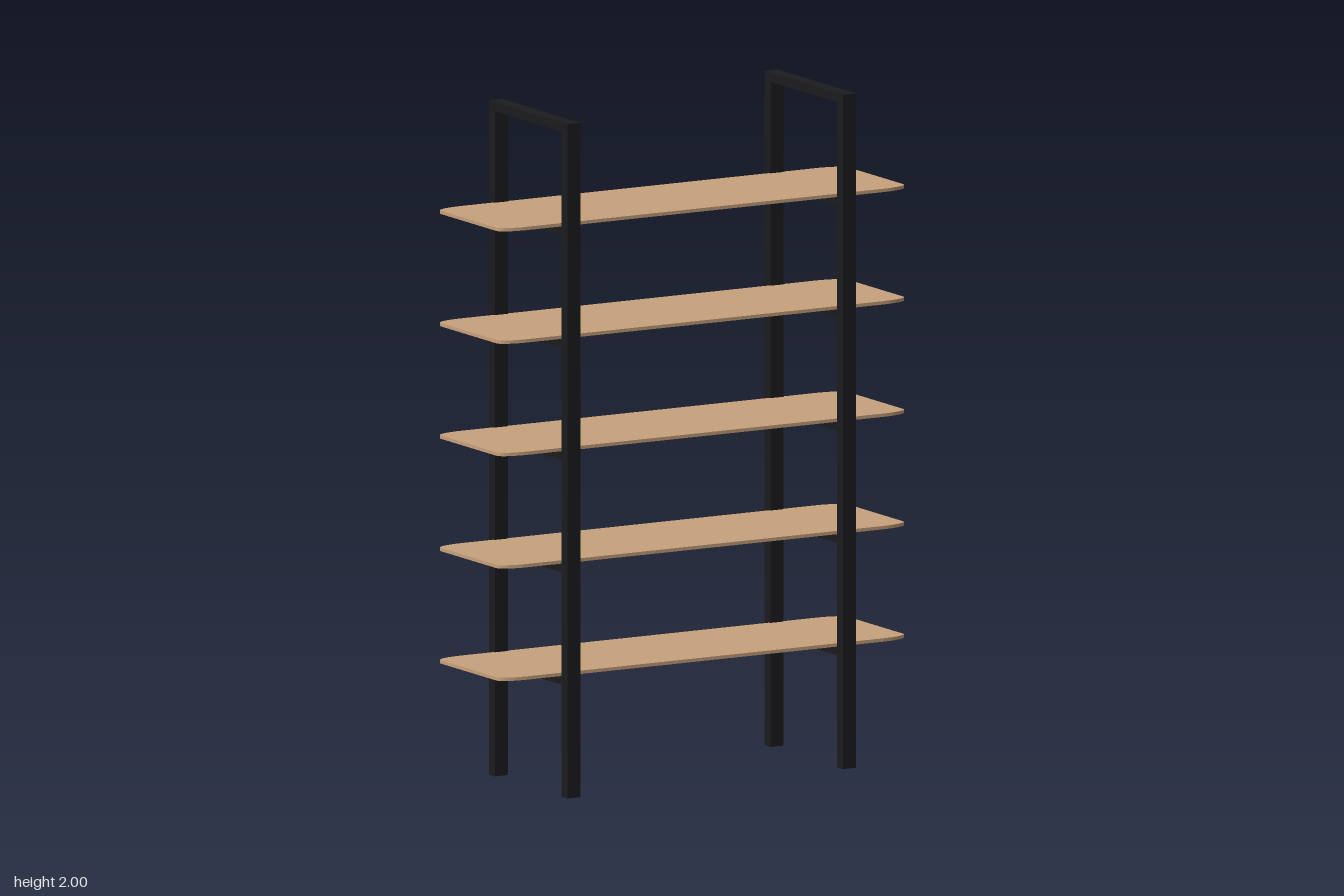
import * as THREE from 'three';

const black = new THREE.MeshStandardMaterial({ color: 0x1c1c1f });
const wood = new THREE.MeshStandardMaterial({ color: 0xc8a27c });

const BAR = 0.045;      // width of the frame bars along x
const DEPTH = 0.45;     // overall frame depth
const POST = 0.034;     // post thickness along z
const FRAME_X = 0.467;
const SHELF_TOPS = [0, 1, 2, 3, 4].map((i) => 0.368 + i / 3);
const SHELF_T = 0.01;

function box(name, w, h, d, x, y, z) {
  const mesh = new THREE.Mesh(new THREE.BoxGeometry(w, h, d), black);
  mesh.name = name;
  mesh.position.set(x, y, z);
  return mesh;
}

// Flat board with elliptical corners, lying in the xz plane
function shelfGeometry() {
  const hx = 0.69, hz = 0.194, rx = 0.09, rz = 0.034;
  const s = new THREE.Shape();
  s.moveTo(hx, hz - rz);
  s.absellipse(hx - rx, hz - rz, rx, rz, 0, Math.PI / 2, false);
  s.absellipse(-hx + rx, hz - rz, rx, rz, Math.PI / 2, Math.PI, false);
  s.absellipse(-hx + rx, -hz + rz, rx, rz, Math.PI, Math.PI * 1.5, false);
  s.absellipse(hx - rx, -hz + rz, rx, rz, Math.PI * 1.5, Math.PI * 2, false);
  const g = new THREE.ExtrudeGeometry(s, { depth: SHELF_T, bevelEnabled: false, curveSegments: 8 });
  return g.rotateX(-Math.PI / 2);
}

export function createModel() {
  const model = new THREE.Group();
  model.name = 'shelvingUnit';

  // Ladder-shaped side frames
  for (const side of [-1, 1]) {
    const frame = new THREE.Group();
    frame.name = side > 0 ? 'leftFrame' : 'rightFrame';
    frame.position.x = side * FRAME_X;
    const postZ = (DEPTH - POST) / 2;
    frame.add(box('frontPost', BAR, 2, POST, 0, 1, postZ));
    frame.add(box('backPost', BAR, 2, POST, 0, 1, -postZ));
    const inner = DEPTH - 2 * POST;
    frame.add(box('topBar', BAR, 0.027, inner, 0, 2 - 0.0135, 0));
    for (const top of SHELF_TOPS) {
      frame.add(box('shelfSupport', BAR, 0.026, inner, 0, top - SHELF_T - 0.013, 0));
    }
    model.add(frame);
  }

  // Shelves
  const geometry = shelfGeometry();
  for (const top of SHELF_TOPS) {
    const shelf = new THREE.Mesh(geometry, wood);
    shelf.name = 'shelf';
    shelf.position.set(0, top - SHELF_T, -0.003);
    model.add(shelf);
  }
  return model;
}
